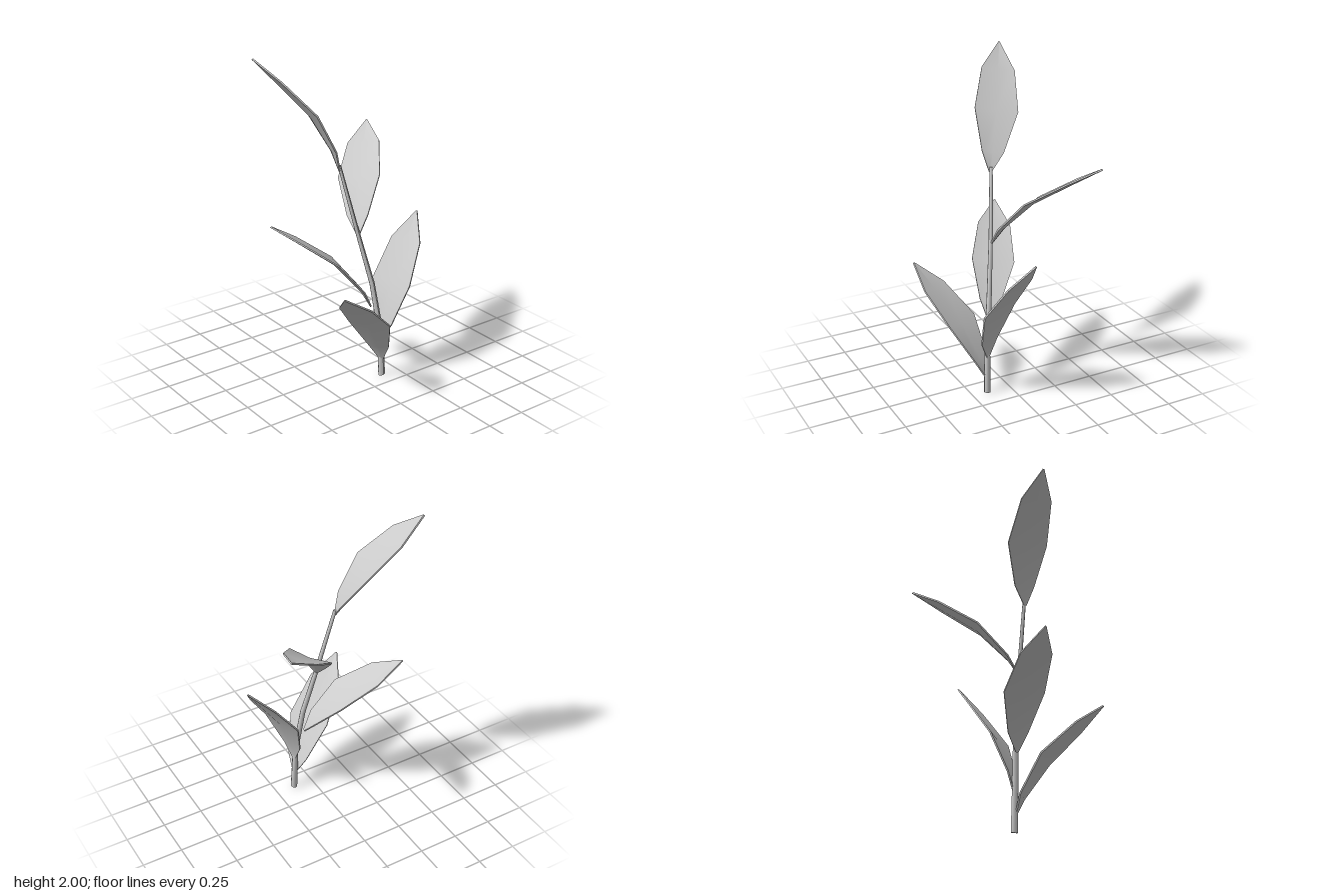
import * as THREE from 'three';

const material = new THREE.MeshStandardMaterial({ color: 0xcccccc, side: THREE.DoubleSide });
const V = (a) => new THREE.Vector3(...a);

// Leaf stations from base to tip: [fraction of length, half width, upward bulge]
const STATIONS = [
  [0, 0.008, 0],
  [0.135, 0.065, 0.042],
  [0.44, 0.13, 0.075],
  [0.77, 0.1, 0.037],
  [1, 0.003, 0],
];
const THICKNESS = 0.01;
const FOLD = 0.015; // midrib sits a little below the edges

// Thin leaf blade: a flat box reshaped to the stations, arched along its length
function makeLeaf(name, baseAt, tipAt, across) {
  const base = V(baseAt);
  const span = V(tipAt).sub(base);
  const dir = span.clone().normalize();
  const side = V(across).addScaledVector(dir, -V(across).dot(dir)).normalize();
  const up = dir.clone().cross(side);
  if (up.y < 0) { up.negate(); side.negate(); }

  const geometry = new THREE.BoxGeometry(2, 1, 1, 2, 1, 4);
  const pos = geometry.attributes.position;
  const p = new THREE.Vector3();
  for (let i = 0; i < pos.count; i++) {
    const u = pos.getX(i);
    const row = Math.round((pos.getZ(i) + 0.5) * 4);
    const [t, half, bulge] = STATIONS[row];
    const sunk = FOLD * (1 - Math.abs(u)) * (half / 0.13);
    p.copy(base)
      .addScaledVector(span, t)
      .addScaledVector(side, u * half)
      .addScaledVector(up, bulge - sunk + pos.getY(i) * THICKNESS);
    pos.setXYZ(i, p.x, p.y, p.z);
  }
  geometry.computeVertexNormals();
  const mesh = new THREE.Mesh(geometry, material);
  mesh.name = name;
  return mesh;
}

// Tapered, gently leaning stem: [x, y, z, radius] for each ring
function makeStem() {
  const rings = [
    [0.128, 0.005, 0.155, 0.021],
    [0.115, 0.32, 0.148, 0.018],
    [0.078, 0.62, 0.115, 0.016],
    [0.005, 0.95, 0.066, 0.013],
    [-0.088, 1.37, 0.014, 0.01],
  ];
  const geometry = new THREE.CylinderGeometry(1, 1, 1, 8, rings.length - 1);
  const pos = geometry.attributes.position;
  for (let i = 0; i < pos.count; i++) {
    const k = Math.round((pos.getY(i) + 0.5) * (rings.length - 1));
    const [x, y, z, r] = rings[k];
    // rings tilt with the lean of the stem
    const dx = pos.getX(i) * r, dz = pos.getZ(i) * r;
    pos.setXYZ(i, x + dx, y + dx * 0.2 + dz * 0.12, z + dz);
  }
  geometry.computeVertexNormals();
  const mesh = new THREE.Mesh(geometry, material);
  mesh.name = 'stem';
  return mesh;
}

export function createModel() {
  const plant = new THREE.Group();
  plant.name = 'plant';
  plant.add(makeStem());

  // name, base, tip, direction across the blade
  const leaves = [
    ['topLeaf', [-0.09, 1.34, 0.018], [-0.49, 2, -0.248], [-0.24, -0.02, 0.97]],
    ['upperLeaf', [0.01, 0.93, 0.065], [0.44, 1.452, -0.417], [0.69, 0.22, 0.7]],
    ['middleLeaf', [0.07, 0.47, 0.115], [-0.437, 1.007, -0.188], [-0.3, 0.06, 0.95]],
    ['lowerLeaf', [0.125, 0.24, 0.15], [0.488, 0.967, 0.03], [0.36, 0.03, 0.93]],
    ['bottomLeaf', [0.122, 0.11, 0.16], [-0.345, 0.735, 0.415], [0.61, -0.08, 0.78]],
  ];
  for (const leaf of leaves) plant.add(makeLeaf(...leaf));
  return plant;
}
